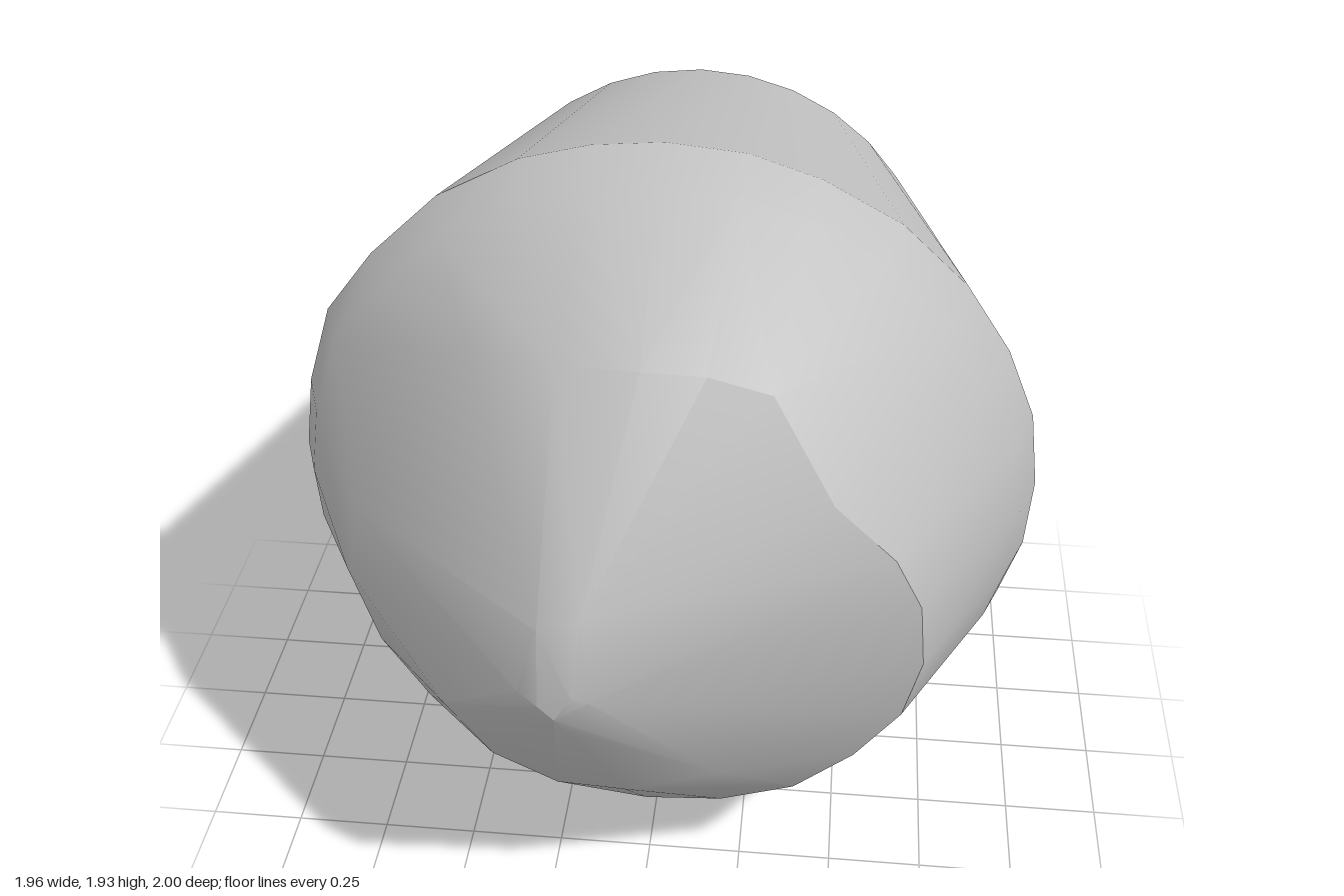
import * as THREE from 'three';
import { toCreasedNormals } from 'three/addons/utils/BufferGeometryUtils.js';
import { ConvexGeometry } from 'three/addons/geometries/ConvexGeometry.js';

const CY = 0.965; // height of the body axis

// Widest outline of the body, as x, y
const RIM = [
  [0, 1.93], [0.2, 1.91], [0.38, 1.85], [0.58, 1.74], [0.75, 1.58], [0.87, 1.4],
  [0.95, 1.21], [0.98, 1], [0.97, 0.8], [0.92, 0.63], [0.83, 0.45], [0.7, 0.28],
  [0.55, 0.14], [0.38, 0.04], [0.2, 0], [0, 0.005], [-0.2, 0.02], [-0.38, 0.07],
  [-0.55, 0.16], [-0.7, 0.31], [-0.83, 0.47], [-0.92, 0.66], [-0.97, 0.84], [-0.98, 1],
  [-0.95, 1.2], [-0.88, 1.42], [-0.75, 1.59], [-0.57, 1.76], [-0.36, 1.87], [-0.18, 1.915],
];

// Uneven shoulder ridge around the front, as x, y, z
const RIDGE = [
  [0, 1.64, 0.62], [0.15, 1.63, 0.61], [0.3, 1.59, 0.61], [0.45, 1.36, 0.7],
  [0.6, 1.2, 0.68], [0.67, 1.05, 0.66], [0.69, 0.85, 0.63], [0.65, 0.66, 0.61],
  [0.54, 0.5, 0.6], [0.39, 0.36, 0.59], [0.2, 0.28, 0.575], [0, 0.25, 0.56],
  [-0.2, 0.28, 0.55], [-0.4, 0.37, 0.53], [-0.58, 0.52, 0.51], [-0.7, 0.7, 0.5],
  [-0.77, 0.92, 0.49], [-0.73, 1.12, 0.49], [-0.42, 1.58, 0.47], [-0.2, 1.62, 0.58],
];

// Blunt, off-centre tip and the facets just behind it
const NOSE = [
  [-0.12, 1.0, 1], [-0.16, 0.93, 1], [-0.08, 0.98, 0.99], [-0.2, 0.96, 0.99],
  [-0.14, 0.87, 0.97], [-0.1, 1.19, 0.95], [-0.2, 1.15, 0.95], [-0.25, 0.98, 0.965],
  [-0.47, 0.76, 0.79], [-0.36, 0.6, 0.785], [-0.2, 0.51, 0.78], [-0.03, 0.5, 0.78],
  [0.2, 0.57, 0.77],
];

export function createModel() {
  const group = new THREE.Group();
  const grey = new THREE.MeshStandardMaterial({ color: 0xc0c0c0 });
  grey.name = 'grey';

  const points = [];
  const add = (x, y, z) => points.push(new THREE.Vector3(x, y, z));

  // Flat round back
  for (let i = 0; i < 32; i++) {
    const a = (i / 32) * Math.PI * 2;
    add(0.71 * Math.cos(a), CY + 0.71 * Math.sin(a), -1);
  }
  // Rim, with a softened front edge
  for (const [x, y] of RIM) {
    add(x, y, 0.05);
    add(x * 0.95, CY + (y - CY) * 0.95, 0.18);
  }
  // Faceted front
  for (const p of [...RIDGE, ...NOSE]) add(...p);

  const body = new THREE.Mesh(toCreasedNormals(new ConvexGeometry(points), 0.45), grey);
  body.name = 'body';
  group.add(body);
  return group;
}
